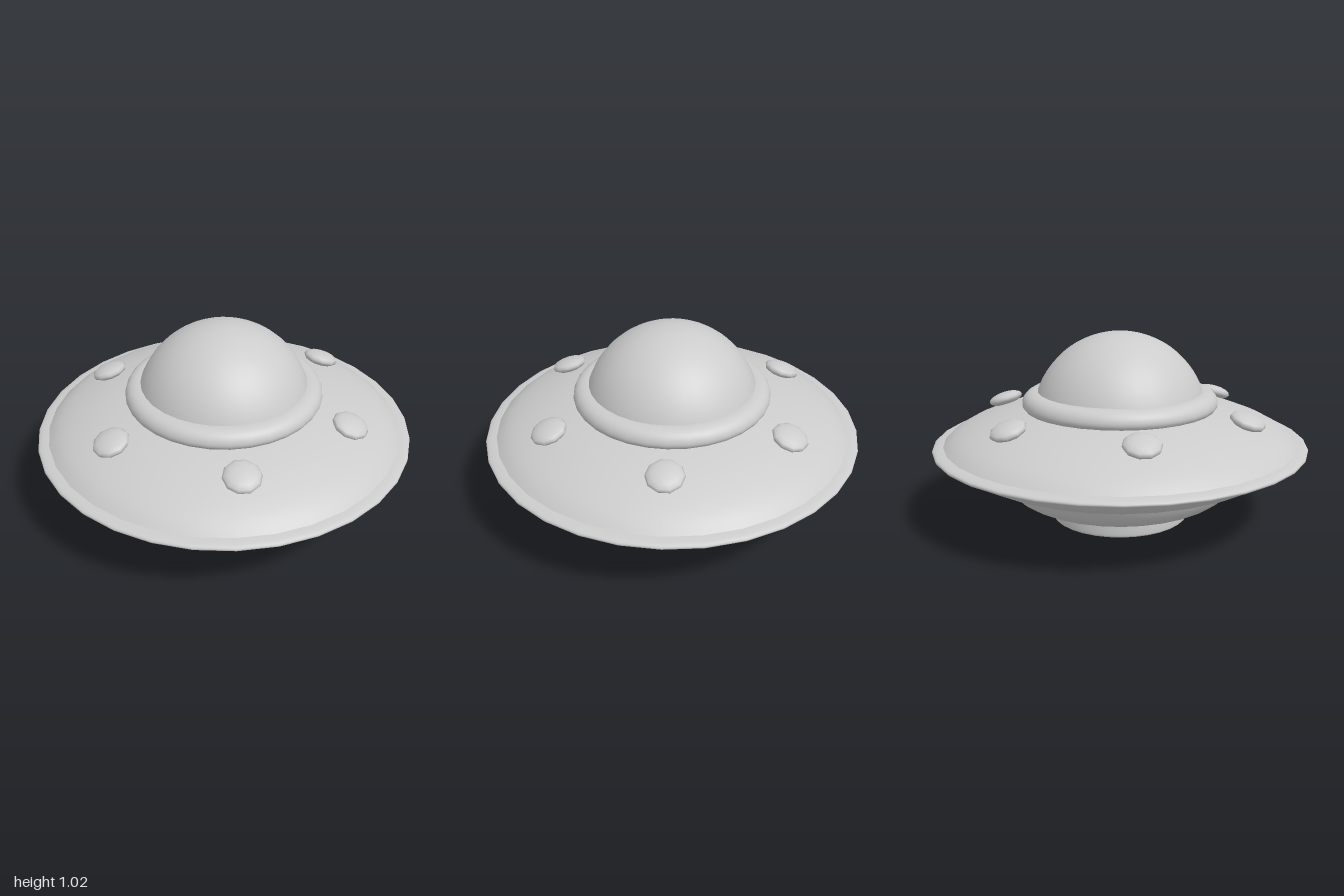
import * as THREE from 'three';

const material = new THREE.MeshStandardMaterial({ color: 0xcccccc });

function addPart(group, name, geometry) {
  const mesh = new THREE.Mesh(geometry, material);
  mesh.name = name;
  group.add(mesh);
  return mesh;
}

// Revolve a smooth profile of [radius, height] points, listed so that the outside is on the right
function revolve(points, divisions, segments = 32) {
  const curve = new THREE.SplineCurve(points.map(([r, y]) => new THREE.Vector2(r, y)));
  const profile = curve.getPoints(divisions);
  profile.forEach((p) => { p.x = Math.max(p.x, 0); });
  return new THREE.LatheGeometry(profile, segments);
}

export function createModel() {
  const ship = new THREE.Group();
  ship.name = 'flyingSaucer';

  // Landing ring with a rounded lip, open in the middle
  addPart(ship, 'landingRing', revolve([
    [0.25, 0.1], [0.253, 0.045], [0.27, 0.013], [0.3, 0.002],
    [0.345, 0.002], [0.363, 0.008], [0.37, 0.025], [0.37, 0.11],
  ], 28));

  // Flat plate closing the ring from above
  const plate = addPart(ship, 'ringFloor', new THREE.CircleGeometry(0.38, 32));
  plate.rotation.x = Math.PI / 2;
  plate.position.y = 0.09;

  // Rounded belly
  addPart(ship, 'belly', revolve([
    [0.36, 0.09], [0.48, 0.115], [0.56, 0.15], [0.615, 0.2], [0.655, 0.265],
  ], 12));

  // Lower and upper halves of the disc
  addPart(ship, 'lowerHull', revolve([
    [0.63, 0.258], [0.66, 0.262], [0.77, 0.293], [0.87, 0.343], [0.945, 0.395],
  ], 12));
  addPart(ship, 'upperHull', revolve([
    [0.945, 0.437], [0.89, 0.484], [0.8, 0.531], [0.66, 0.582], [0.5, 0.62], [0.4, 0.632],
  ], 14));

  // Thin rim around the disc
  addPart(ship, 'rim', revolve([
    [0.925, 0.386], [0.965, 0.396], [0.993, 0.408], [1, 0.418],
    [0.993, 0.429], [0.965, 0.437], [0.93, 0.441],
  ], 12));

  // Collar under the dome
  addPart(ship, 'collar', revolve([
    [0.505, 0.612], [0.522, 0.638], [0.516, 0.67], [0.494, 0.695], [0.46, 0.707], [0.42, 0.708],
  ], 14));

  // Dome, a spherical cap
  const domeRadius = 0.467;
  const dome = addPart(ship, 'dome', new THREE.SphereGeometry(
    domeRadius, 32, 14, 0, Math.PI * 2, 0, 1.25));
  dome.position.y = 1.018 - domeRadius;

  // Six flattened lamps lying on the slope of the hull
  for (let i = 0; i < 6; i++) {
    const arm = new THREE.Group();
    arm.name = `lamp${i + 1}`;
    arm.rotation.y = (i * Math.PI) / 3;
    const lamp = addPart(arm, 'lampBulb', new THREE.SphereGeometry(0.097, 10, 8));
    lamp.scale.y = 0.38;
    lamp.position.set(0, 0.598, 0.698);
    lamp.rotation.x = 0.33;
    ship.add(arm);
  }

  return ship;
}
